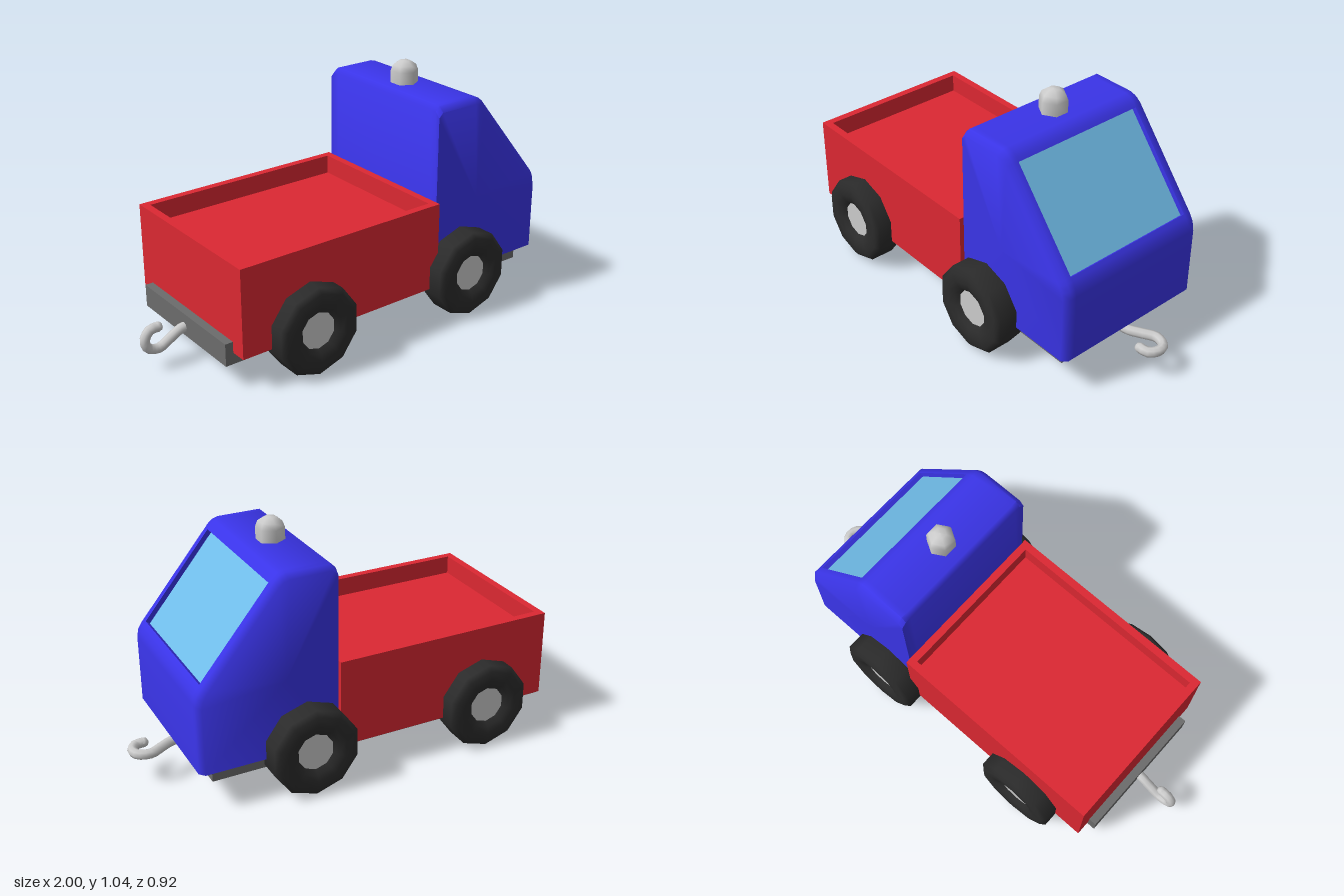
import * as THREE from 'three';
import { toCreasedNormals } from 'three/addons/utils/BufferGeometryUtils.js';

const mat = (color, flat = false) =>
  new THREE.MeshStandardMaterial({ color, flatShading: flat, side: THREE.DoubleSide });
const grey = mat(0xcccccc), dark = mat(0x6c6c6c, true), red = mat(0xdc2832, true);
const blue = mat(0x3a34e8), glass = mat(0x70bce8, true), rubber = mat(0x2b2b2b);

function add(parent, name, geometry, material, x = 0, y = 0, z = 0) {
  const mesh = new THREE.Mesh(geometry, material);
  mesh.name = name;
  mesh.position.set(x, y, z);
  parent.add(mesh);
  return mesh;
}

// Box given by its minimum and maximum corners
function addBox(parent, name, material, a, b) {
  return add(parent, name, new THREE.BoxGeometry(b[0] - a[0], b[1] - a[1], b[2] - a[2]), material,
    (a[0] + b[0]) / 2, (a[1] + b[1]) / 2, (a[2] + b[2]) / 2);
}

// Windscreen corners on the slope and the direction it faces
const LOW = [0.786, 0.545], HIGH = [0.489, 0.905], NORMAL = [0.771, 0.636], RECESS = 0.024;

// Cab: side profile lofted across the width, narrowed at the sides, recessed at the windscreen
function cabGeometry() {
  const inward = ([x, y]) => [x - NORMAL[0] * RECESS, y - NORMAL[1] * RECESS];
  const ring = (recessed) => {
    const f = recessed ? inward : (p) => p;
    return [[0.22, 0.17], [0.82, 0.17], [0.82, 0.47], [0.813, 0.505], [0.797, 0.532],
      LOW, f(LOW), f(HIGH), HIGH,
      [0.477, 0.92], [0.455, 0.938], [0.43, 0.945], [0.24, 0.945], [0.22, 0.925]];
  };
  const full = ring(false), cut = ring(true);
  const inset = full.map(([x, y]) => [0.22 + (x - 0.22) * 0.965, 0.17 + (y - 0.17) * 0.97]);
  const stations = [[inset, -0.36], [full, -0.337], [full, -0.31], [cut, -0.31],
    [cut, 0.31], [full, 0.31], [full, 0.337], [inset, 0.36]];
  const rings = stations.map(([pts, z]) => pts.map(([x, y]) => new THREE.Vector3(x, y, z)));

  const pos = [];
  const tri = (a, b, c) => {
    if (new THREE.Triangle(a, b, c).getArea() < 1e-7) return;
    for (const p of [a, b, c]) pos.push(p.x, p.y, p.z);
  };
  const n = full.length;
  for (let i = 0; i < n; i++) {
    const j = (i + 1) % n;
    for (let k = 0; k + 1 < rings.length; k++) {
      const r = rings[k], s = rings[k + 1];
      tri(r[i], r[j], s[j]);
      tri(r[i], s[j], s[i]);
    }
    const first = rings[0], last = rings[rings.length - 1];
    tri(new THREE.Vector3(0.45, 0.5, 0.36), last[i], last[j]);
    tri(new THREE.Vector3(0.45, 0.5, -0.36), first[j], first[i]);
  }
  const g = new THREE.BufferGeometry();
  g.setAttribute('position', new THREE.Float32BufferAttribute(pos, 3));
  return toCreasedNormals(g, 0.9);
}

// Wheel: ten-sided tyre with a slightly sunken hub
function makeWheel() {
  const wheel = new THREE.Group();
  const half = [[0.08, 0.045], [0.1, 0.063], [0.13, 0.07], [0.17, 0.07], [0.192, 0.053]];
  const profile = [...half.map(([r, w]) => [r, -w]), ...half.map((p) => [...p]).reverse()];
  const tyre = new THREE.LatheGeometry(profile.map(([r, w]) => new THREE.Vector2(r, w)), 10);
  add(wheel, 'tyre', tyre, rubber).rotation.x = Math.PI / 2;
  add(wheel, 'hub', toCreasedNormals(new THREE.CylinderGeometry(0.082, 0.082, 0.09, 10), 0.9), grey)
    .rotation.x = Math.PI / 2;
  return wheel;
}

// Tow hook: bent rod lying in its local xy plane, starting inside the chassis
function makeHook() {
  const hook = new THREE.Group();
  const path = [[-0.03, 0], [0.06, 0], [0.115, -0.027], [0.17, -0.054], [0.217, -0.038],
    [0.229, 0], [0.205, 0.038], [0.168, 0.042]].map(([x, y]) => new THREE.Vector3(x, y, 0));
  add(hook, 'hookRod', new THREE.TubeGeometry(new THREE.CatmullRomCurve3(path), 20, 0.021, 8), grey);
  const tip = path[path.length - 1];
  add(hook, 'hookTip', new THREE.SphereGeometry(0.021, 8, 6), grey, tip.x, tip.y, 0);
  return hook;
}

export function createModel() {
  const truck = new THREE.Group();
  truck.name = 'towTruck';

  addBox(truck, 'chassis', dark, [-0.8, 0.1, -0.31], [0.755, 0.198, 0.31]);

  // Open load bed: solid floor with four low walls
  const bed = new THREE.Group();
  bed.name = 'loadBed';
  truck.add(bed);
  addBox(bed, 'bedFloor', red, [-0.765, 0.15, -0.38], [0.22, 0.45, 0.38]);
  addBox(bed, 'tailWall', red, [-0.765, 0.45, -0.38], [-0.732, 0.533, 0.38]);
  addBox(bed, 'headWall', red, [0.187, 0.45, -0.38], [0.22, 0.533, 0.38]);
  for (const s of [-1, 1]) {
    const z = [0.347 * s, 0.38 * s].sort((a, b) => a - b);
    addBox(bed, 'sideWall', red, [-0.732, 0.45, z[0]], [0.187, 0.533, z[1]]);
  }

  // Cab with its windscreen pane on the recessed slope
  add(truck, 'cab', cabGeometry(), blue);
  const length = Math.hypot(HIGH[0] - LOW[0], HIGH[1] - LOW[1]);
  const depth = RECESS + 0.001;
  const pane = add(truck, 'windscreen', new THREE.BoxGeometry(0.006, length, 0.62), glass,
    (LOW[0] + HIGH[0]) / 2 - NORMAL[0] * depth, (LOW[1] + HIGH[1]) / 2 - NORMAL[1] * depth, 0);
  pane.rotation.z = Math.atan2(NORMAL[1], NORMAL[0]);

  // Six-sided roof beacon
  const lamp = [[0.06, 0], [0.06, 0.055], [0.05, 0.08], [0.025, 0.097], [0, 0.1]];
  add(truck, 'beacon', new THREE.LatheGeometry(lamp.map(([r, y]) => new THREE.Vector2(r, y)), 6),
    grey, 0.34, 0.943, 0);

  for (const [x, axle] of [[0.36, 'front'], [-0.45, 'rear']]) {
    for (const s of [-1, 1]) {
      const wheel = makeWheel();
      wheel.name = axle + 'Wheel';
      wheel.position.set(x, 0.193, 0.39 * s);
      truck.add(wheel);
    }
  }

  // Front hook lies flat, rear hook stands upright
  const frontHook = makeHook();
  frontHook.name = 'frontHook';
  frontHook.position.set(0.75, 0.136, 0);
  frontHook.rotation.x = Math.PI / 2;
  const rearHook = makeHook();
  rearHook.name = 'rearHook';
  rearHook.position.set(-0.75, 0.136, 0);
  rearHook.rotation.y = Math.PI;
  truck.add(frontHook, rearHook);

  return truck;
}
